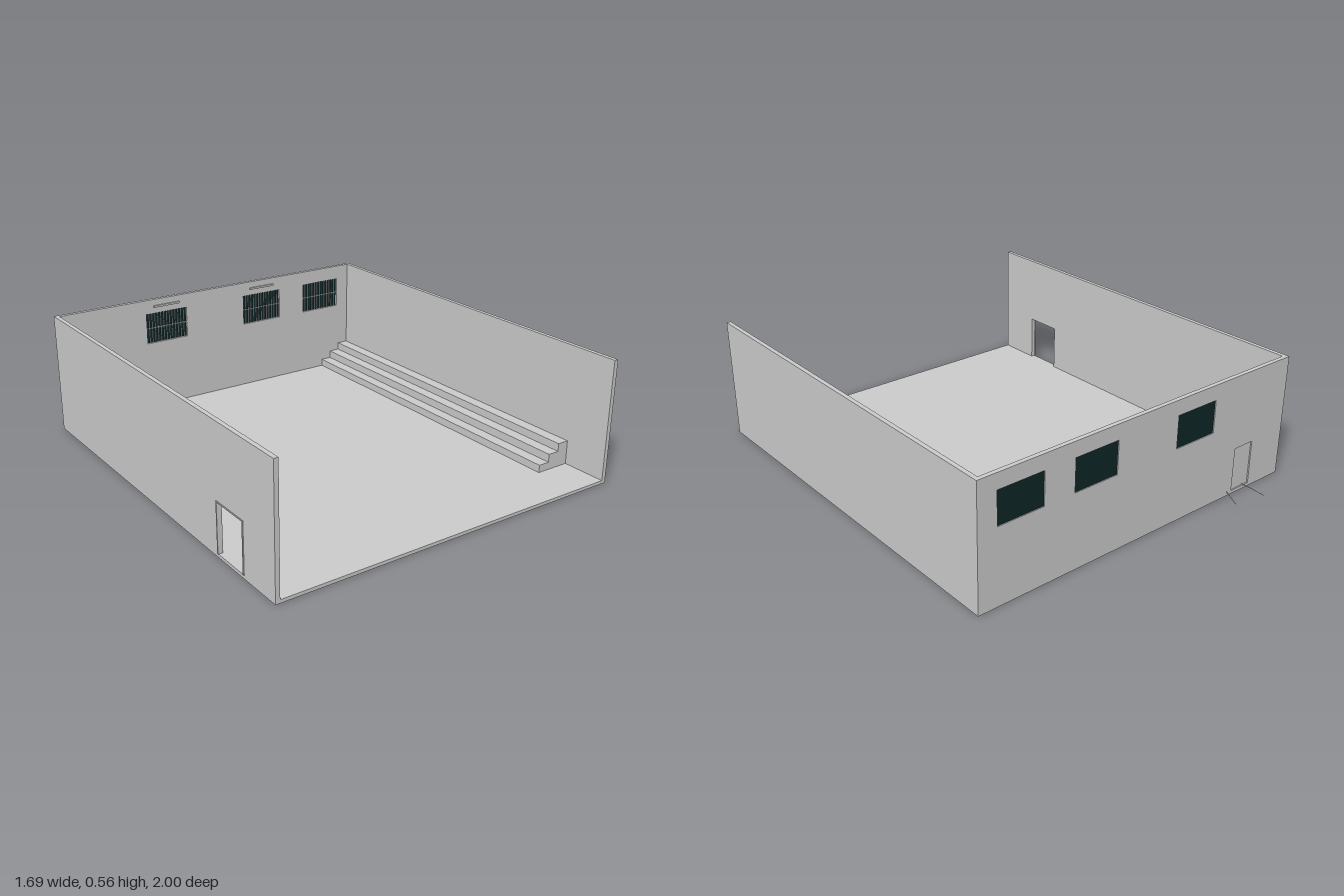
import * as THREE from 'three';

const grey = new THREE.MeshStandardMaterial({ color: 0xcccccc, side: THREE.DoubleSide });
grey.name = 'pale grey';
const glass = new THREE.MeshStandardMaterial({ color: 0x0e2626, side: THREE.DoubleSide });
glass.name = 'dark green glass';

const H = 0.565, FLOOR = 0.015, T = 0.02, X = 0.845, BACK = -0.88, FRONT = 1;

function add(parent, name, geometry, material = grey) {
  const mesh = new THREE.Mesh(geometry, material);
  mesh.name = name;
  parent.add(mesh);
  return mesh;
}

// Box given by its lower and upper corners
function box(parent, name, x0, x1, y0, y1, z0, z1, material) {
  const mesh = add(parent, name, new THREE.BoxGeometry(x1 - x0, y1 - y0, z1 - z0), material);
  mesh.position.set((x0 + x1) / 2, (y0 + y1) / 2, (z0 + z1) / 2);
  return mesh;
}

// Upright wall slab with rectangular openings [u0, u1, y0, y1]
function wallGeometry(u0, u1, openings) {
  const rect = (Type, a, b, c, d) => {
    const p = new Type();
    p.moveTo(a, c);
    p.lineTo(b, c);
    p.lineTo(b, d);
    p.lineTo(a, d);
    p.closePath();
    return p;
  };
  const shape = rect(THREE.Shape, u0, u1, 0, H);
  for (const o of openings) shape.holes.push(rect(THREE.Path, ...o));
  return new THREE.ExtrudeGeometry(shape, { depth: T, bevelEnabled: false });
}

// Flat court marking just above the floor
function marking(parent, name, x, z, radius, start, length) {
  const g = new THREE.RingGeometry(radius - 0.004, radius + 0.004, 64, 1, start, length);
  g.rotateX(-Math.PI / 2);
  add(parent, name, g).position.set(x, FLOOR + 0.001, z);
}

// Thin bent twig lying on the floor
function twig(parent, from, to, bend) {
  const mid = [(from[0] + to[0]) / 2 + bend, (from[1] + to[1]) / 2 + bend];
  const curve = new THREE.CatmullRomCurve3([
    new THREE.Vector3(from[0], FLOOR + 0.002, from[1]),
    new THREE.Vector3(mid[0], FLOOR + 0.005, mid[1]),
    new THREE.Vector3(to[0], FLOOR + 0.002, to[1]),
  ]);
  add(parent, 'twig', new THREE.TubeGeometry(curve, 8, 0.0016, 4));
}

export function createModel() {
  const model = new THREE.Group();
  model.name = 'sportsHall';
  const windows = [-0.275, 0.275, 0.645];
  const wy0 = 0.345, wy1 = 0.495, half = 0.11;

  // Floor and walls, open at the front
  box(model, 'floor', -X + T, X - T, 0, FLOOR, BACK + T, FRONT);
  box(model, 'leftWall', X - T, X, 0, H, BACK, FRONT);
  const side = add(model, 'rightWall', wallGeometry(BACK, FRONT, [[0.605, 0.79, FLOOR, 0.235]]));
  side.rotation.y = -Math.PI / 2;
  side.position.x = -X + T;
  const openings = windows.map((x) => [x - half, x + half, wy0, wy1]);
  openings.push([-0.65, -0.54, FLOOR, 0.22]);
  add(model, 'backWall', wallGeometry(-X + T, X - T, openings)).position.z = BACK;

  // Side entrance trim
  for (const z of [0.6, 0.785]) {
    box(model, 'entranceJamb', -X - 0.003, -X, FLOOR, 0.24, z, z + 0.006);
  }
  box(model, 'entranceLintel', -X - 0.003, -X, 0.235, 0.24, 0.606, 0.785);

  // Door set into the back wall
  box(model, 'backDoor', -0.65, -0.54, FLOOR, 0.22, BACK + 0.006, BACK + 0.014);

  // Barred windows
  for (const x of windows) {
    const win = new THREE.Group();
    win.name = 'window';
    model.add(win);
    box(win, 'pane', x - half, x + half, wy0, wy1, BACK + 0.004, BACK + 0.01, glass);
    for (let i = 1; i < 14; i++) {
      const bx = x - half + (i * 2 * half) / 14;
      box(win, 'verticalBar', bx - 0.0015, bx + 0.0015, wy0, wy1, BACK + 0.014, BACK + 0.018);
    }
    box(win, 'crossBar', x - half, x + half, 0.418, 0.422, BACK + 0.014, BACK + 0.02);
  }

  // Strip lamps above the two central windows
  for (const x of [-0.275, 0.275]) {
    box(model, 'stripLamp', x - 0.07, x + 0.07, 0.525, 0.534, BACK + T, BACK + T + 0.008);
  }

  // Stepped seating along the left wall
  const steps = new THREE.Shape();
  steps.moveTo(0.66, FLOOR);
  [[0.66, 0.05], [0.715, 0.05], [0.715, 0.088], [0.77, 0.088], [0.77, 0.125],
    [X - T, 0.125], [X - T, FLOOR]].forEach((p) => steps.lineTo(...p));
  const seating = new THREE.ExtrudeGeometry(steps, { depth: 0.79 - BACK - T, bevelEnabled: false });
  add(model, 'steppedSeating', seating).position.z = BACK + T;

  // Court markings
  const reach = 1.395;
  marking(model, 'centreCircle', -0.068, 0.055, 0.165, 0, Math.PI * 2);
  marking(model, 'backArc', -0.068, -0.746, 0.551, -Math.PI / 2 - reach, reach * 2);
  marking(model, 'frontArc', -0.068, 0.856, 0.551, Math.PI / 2 - reach, reach * 2);

  // Twigs and pebbles in the back corner
  const debris = new THREE.Group();
  debris.name = 'debris';
  model.add(debris);
  const heap = [-0.6, -0.76], tuft = [-0.32, -0.63];
  [[-0.83, -0.74], [-0.82, -0.82], [-0.82, -0.69], [-0.74, -0.83], [-0.615, -0.998], [-0.465, -0.97]]
    .forEach((end, i) => twig(debris, heap, end, i % 2 ? 0.008 : -0.008));
  [[-0.425, -0.565], [-0.385, -0.68], [-0.34, -0.72], [-0.26, -0.7], [-0.26, -0.62]]
    .forEach((end, i) => twig(debris, tuft, end, i % 2 ? 0.006 : -0.006));
  let seed = 7;
  const random = () => (seed = (seed * 16807) % 2147483647) / 2147483647;
  for (let i = 0; i < 22; i++) {
    const pebble = add(debris, 'pebble', new THREE.IcosahedronGeometry(0.004 + random() * 0.003, 0));
    pebble.position.set(-0.7 + random() * 0.2, FLOOR + 0.003, -0.83 + random() * 0.14);
  }
  return model;
}
